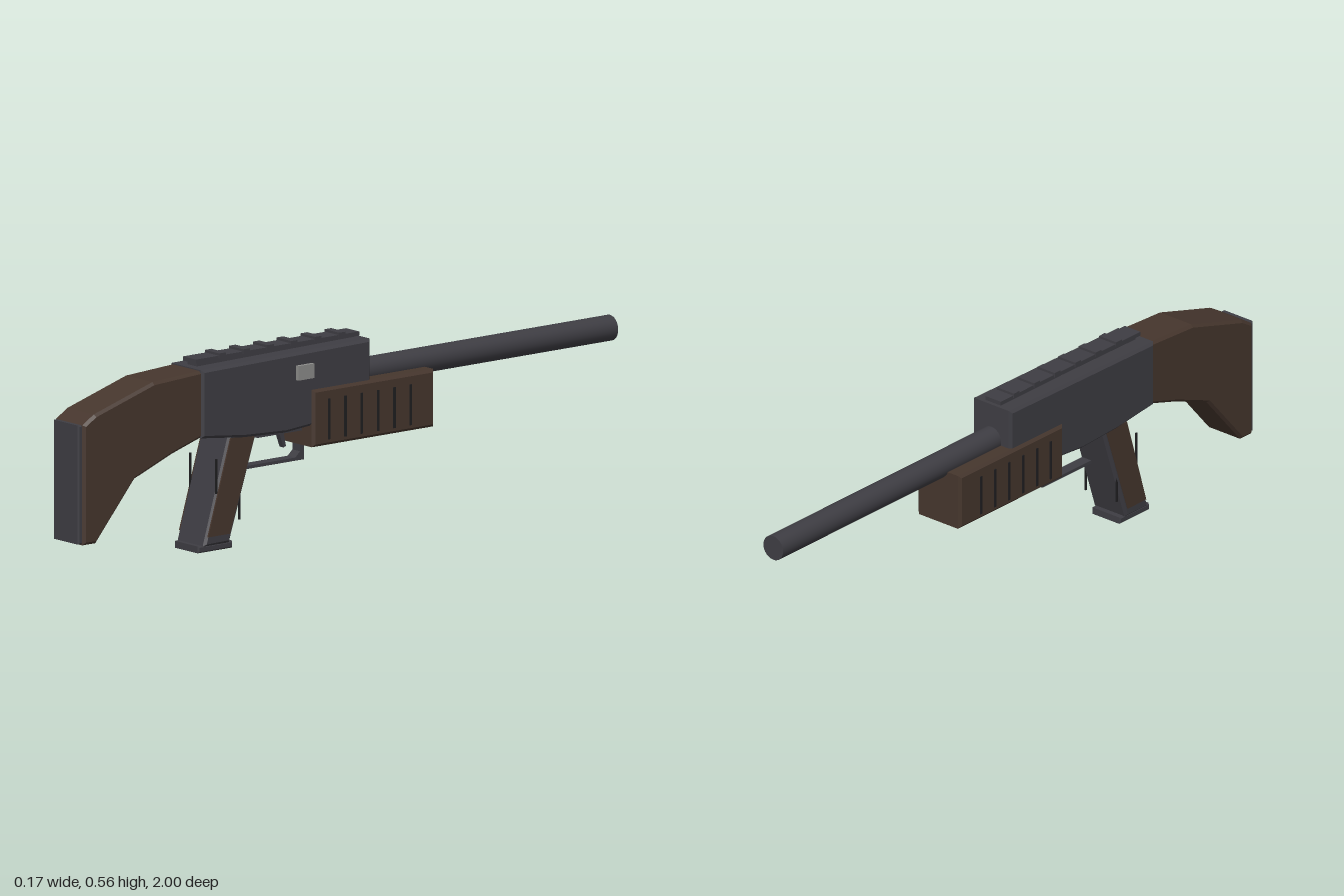
import * as THREE from 'three';

const flat = (name, color) => {
  const m = new THREE.MeshStandardMaterial({ color });
  m.name = name;
  return m;
};

export function createModel() {
  const model = new THREE.Group();
  model.name = 'longGun';
  const metal = flat('gunmetal', 0x3e3d43);
  const wood = flat('darkWood', 0x46362d);
  const dark = flat('slotBlack', 0x1f1e20);
  const steel = flat('paleSteel', 0x8c8c8a);

  const add = (name, geometry, material, x = 0, y = 0, z = 0) => {
    const mesh = new THREE.Mesh(geometry, material);
    mesh.name = name;
    mesh.position.set(x, y, z);
    model.add(mesh);
    return mesh;
  };
  const box = (name, material, w, h, d, x, y, z) =>
    add(name, new THREE.BoxGeometry(w, h, d), material, x, y, z);

  // Side profile of [z, y] points, extruded across x with a chamfered rim
  const slab = (name, material, points, half, bevel = 0, x = 0) => {
    const shape = new THREE.Shape(points.map(([z, y]) => new THREE.Vector2(z, y)));
    const geometry = new THREE.ExtrudeGeometry(shape, {
      depth: 2 * (half - bevel), bevelEnabled: bevel > 0, bevelThickness: bevel,
      bevelSize: bevel, bevelOffset: -bevel, bevelSegments: 1,
    });
    geometry.translate(0, 0, bevel - half);
    geometry.rotateY(-Math.PI / 2);
    return add(name, geometry, material, x);
  };

  // Stock and butt pad
  slab('stock', wood, [[0.54, 0.53], [0.54, 0.34], [0.66, 0.303], [0.797, 0.25], [0.94, 0.083],
    [0.988, 0.083], [0.988, 0.43], [0.945, 0.456], [0.73, 0.52]], 0.066, 0.008);
  slab('buttPad', metal, [[0.98, 0.086], [1, 0.086], [1, 0.43], [0.98, 0.43]], 0.057, 0.004);

  // Receiver with its underside plate and ejection port
  slab('receiver', metal, [[0.558, 0.532], [0.558, 0.335], [0.4, 0.317], [0.25, 0.31], [0.15, 0.318],
    [-0.062, 0.36], [-0.062, 0.54]], 0.073, 0.008);
  box('lowerPlate', metal, 0.06, 0.02, 0.17, 0, 0.308, 0.235);
  box('ejectionPort', steel, 0.02, 0.042, 0.058, 0.074, 0.479, 0.185);

  // Top rail with cross teeth
  box('rail', metal, 0.058, 0.012, 0.6, 0, 0.549, 0.245);
  box('railFoot', metal, 0.04, 0.02, 0.58, 0, 0.536, 0.245);
  for (let i = 0; i < 6; i++) box('railTooth', metal, 0.064, 0.014, 0.024, 0, 0.555, 0.45 - i * 0.088);

  // Barrel
  const barrel = new THREE.CylinderGeometry(0.037, 0.037, 0.95, 32);
  barrel.rotateX(Math.PI / 2);
  add('barrel', barrel, metal, 0, 0.433, -0.525);

  // Handguard with side slots
  slab('handguard', wood, [[0.157, 0.256], [0.157, 0.422], [-0.29, 0.422], [-0.29, 0.256]], 0.081, 0.008);
  for (const side of [-1, 1]) {
    for (let i = 0; i < 6; i++) {
      box('handguardSlot', dark, 0.005, 0.118, 0.008, side * 0.081, 0.332, 0.1 - i * 0.06);
    }
  }

  // Raked grip: metal core, wooden side panels, thin grooves and base plate
  slab('grip', metal, [[0.45, 0.33], [0.345, 0.33], [0.447, 0.018], [0.543, 0.018]], 0.063, 0.008);
  for (const side of [-1, 1]) {
    slab('gripPanel', wood, [[0.447, 0.32], [0.358, 0.32], [0.45, 0.045], [0.53, 0.045]],
      0.004, 0, side * 0.061);
    box('gripGroove', dark, 0.005, 0.1, 0.005, side * 0.058, 0.215, 0.495);
    box('gripGroove', dark, 0.005, 0.09, 0.005, side * 0.058, 0.125, 0.41);
  }
  slab('gripBase', metal, [[0.557, 0], [0.557, 0.02], [0.43, 0.02], [0.43, 0]], 0.054, 0.004);

  // Trigger guard and trigger
  slab('triggerGuard', metal, [[0.348, 0.21], [0.348, 0.219], [0.17, 0.219], [0.153, 0.235],
    [0.153, 0.265], [0.138, 0.265], [0.138, 0.21]], 0.017);
  slab('trigger', metal, [[0.228, 0.31], [0.21, 0.31], [0.198, 0.255], [0.207, 0.252]], 0.009);

  return model;
}
